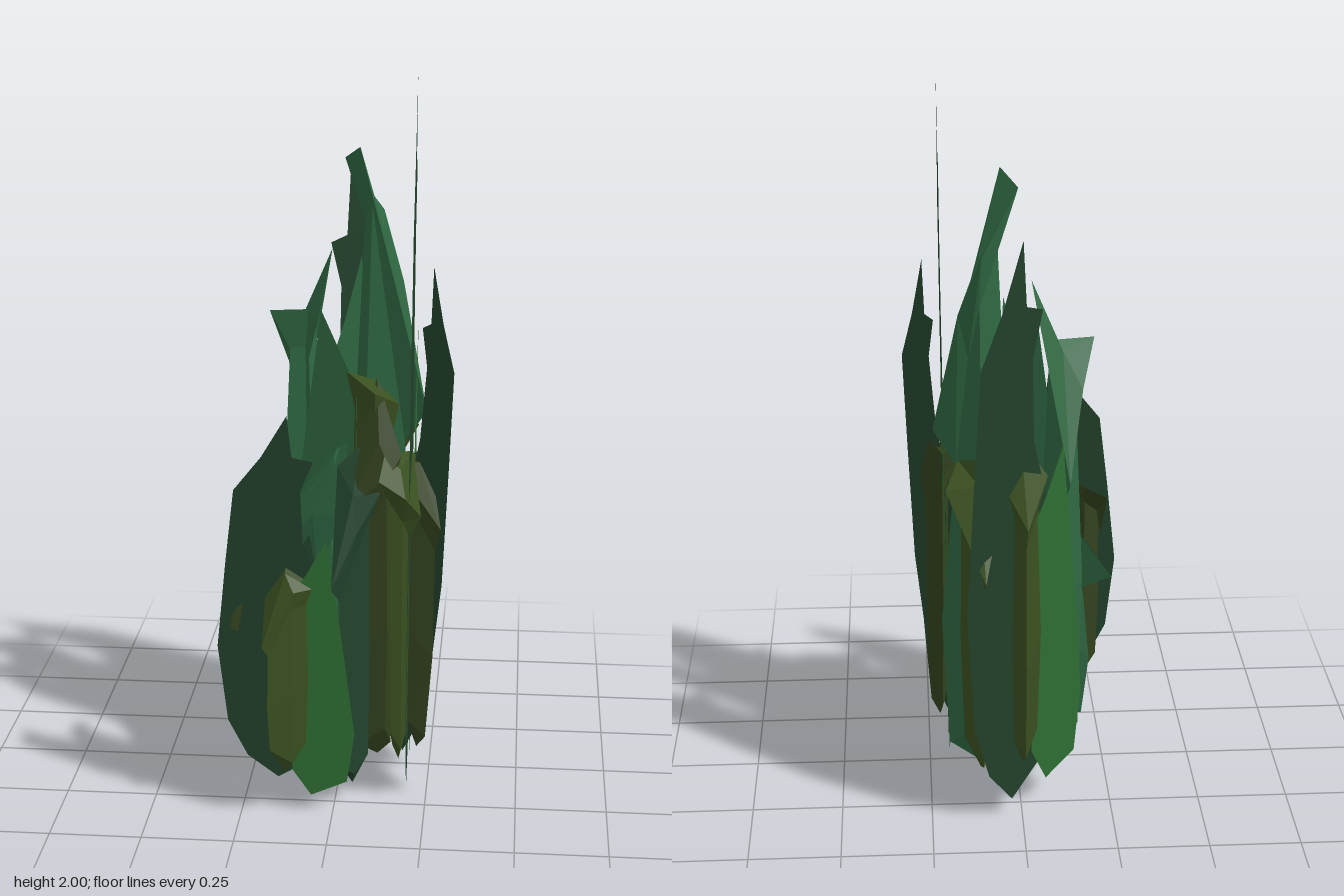
import * as THREE from 'three';

const COLORS = { dark: 0x22402a, pine: 0x22432d, teal: 0x2f6842, green: 0x2f7034, olive: 0x3a5020, moss: 0x33421e };
const mats = {};
for (const key in COLORS) {
  mats[key] = new THREE.MeshStandardMaterial({ color: COLORS[key], flatShading: true, side: THREE.DoubleSide });
}

// Flat leaf outlines: [position across the leaf, height fraction]
const BROAD = [
  [0, 0.37], [0.08, 0.6], [0.16, 0.8], [0.4, 0.89], [0.62, 1], [0.66, 0.89], [0.84, 0.88], [0.73, 0.8],
  [0.75, 0.66], [0.9, 0.55], [1, 0.4], [0.94, 0.2], [0.85, 0.06], [0.52, 0], [0.25, 0.06], [0.08, 0.16],
];
const SLIM = [
  [0, 0.1], [0.04, 0.8], [0.25, 0.87], [0.56, 1], [0.66, 0.84], [0.8, 0.62], [1, 0.25], [0.88, 0.06], [0.3, 0],
];

// Thin, slightly bowed upright leaf on the plan line p-q; lean slides its foot along that line
function flatLeaf(name, color, outline, p, q, y0, y1, lean = 0) {
  const geo = new THREE.ShapeGeometry(new THREE.Shape(outline.map(([u, v]) => new THREE.Vector2(u, v))));
  const pos = geo.attributes.position;
  const dx = q[0] - p[0], dz = q[1] - p[1], width = Math.hypot(dx, dz);
  for (let i = 0; i < pos.count; i++) {
    const u = pos.getX(i), v = pos.getY(i);
    const along = u + lean * Math.max(0, 0.8 - v), bow = 0.012 * (v - 0.5) / width;
    pos.setXYZ(i, p[0] + dx * along - dz * bow, y0 + (y1 - y0) * v, p[1] + dz * along + dx * bow);
  }
  geo.computeVertexNormals();
  const mesh = new THREE.Mesh(geo, mats[color]);
  mesh.name = name;
  return mesh;
}

// Faceted stalk: corners are [x, z, top height]; rings narrow below the flared tip
function stalk(name, color, corners, foot, { neck = 0.62, mid = 0.75, base = 0.6 } = {}) {
  const n = corners.length;
  const centre = [0, 1, 2].map(k => corners.reduce((s, c) => s + c[k], 0) / n);
  const rings = [[0, base], [0.4, mid], [0.9, neck], [1, 1]];
  const points = [], index = [];
  for (const [t, scale] of rings) {
    corners.forEach(([x, z, top], i) => {
      const y0 = foot + (i % 2) * 0.05 + 0.04;
      points.push(centre[0] + (x - centre[0]) * scale, y0 + (top - y0) * t, centre[1] + (z - centre[1]) * scale);
    });
  }
  points.push(centre[0], foot, centre[1], centre[0], centre[2] + 0.03, centre[1]);
  const bottom = rings.length * n, top = bottom + 1, last = bottom - n;
  for (let i = 0; i < n; i++) {
    const j = (i + 1) % n;
    for (let r = 0; r < rings.length - 1; r++) {
      const a = r * n + i, b = r * n + j;
      index.push(a, a + n, b, b, a + n, b + n);
    }
    index.push(bottom, i, j, top, last + j, last + i);
  }
  const geo = new THREE.BufferGeometry();
  geo.setAttribute('position', new THREE.Float32BufferAttribute(points, 3));
  geo.setIndex(index);
  geo.computeVertexNormals();
  const mesh = new THREE.Mesh(geo, mats[color]);
  mesh.name = name;
  return mesh;
}

export function createModel() {
  const group = new THREE.Group();
  group.name = 'grassClump';

  // Large dark leaves, each with a slim leaf beside it in the same plane
  group.add(
    flatLeaf('tallLeftLeaf', 'dark', BROAD, [0.2, 0.28], [0.198, 0.03], 0, 2),
    flatLeaf('tallLeftSideLeaf', 'green', SLIM, [0.2, 0.065], [0.198, -0.11], 0.03, 1.32),
    flatLeaf('backLeaf', 'dark', BROAD, [0.15, -0.395], [-0.09, -0.245], 0.05, 1.66),
    flatLeaf('backSideLeaf', 'green', SLIM, [-0.03, -0.285], [-0.17, -0.2], 0.08, 1.08),
    flatLeaf('frontLeaf', 'dark', BROAD, [-0.31, 0.315], [0, 0.315], 0.1, 1.14),
    flatLeaf('frontSideLeaf', 'green', SLIM, [-0.11, 0.318], [0.06, 0.32], 0.05, 0.8),
    flatLeaf('leftLeaf', 'dark', BROAD, [0.328, 0.133], [0.2, 0.083], 0.08, 1.49, 0.8),
    flatLeaf('leftSideLeaf', 'teal', SLIM, [0.08, 0.045], [-0.17, -0.04], 0.1, 1.34),
  );

  // Slim leaves inside the clump
  group.add(
    flatLeaf('innerBackLeaf', 'teal', SLIM, [-0.04, -0.1], [0.1, -0.195], 0.1, 1.46),
    flatLeaf('innerFrontLeaf', 'pine', SLIM, [-0.17, 0.17], [0, 0.165], 0.1, 0.76),
    flatLeaf('innerCrossLeaf', 'teal', SLIM, [0.05, 0.04], [0.05, 0.14], 0.1, 1.36, -0.9),
  );

  // Stalks at the back
  group.add(
    stalk('backStalk', 'olive',
      [[-0.01, -0.395, 0.9], [0.055, -0.295, 1.0], [0.015, -0.24, 1.12], [-0.07, -0.26, 1.0]], 0.16),
    stalk('backLeftStalk', 'olive',
      [[0.1, -0.4, 0.75], [0.2, -0.235, 0.95], [0.165, -0.165, 1.01], [0.12, -0.215, 1.03], [0.025, -0.21, 1.0], [0.06, -0.29, 0.9]],
      0.12, { neck: 0.55, mid: 0.6, base: 0.5 }),
    stalk('rightBackStalk', 'teal',
      [[-0.13, -0.26, 0.97], [-0.035, -0.1, 1.49], [-0.07, -0.03, 1.3], [-0.1, -0.09, 1.32], [-0.205, -0.07, 1.32], [-0.17, -0.15, 1.2]],
      0.12, { neck: 0.4, mid: 0.7 }),
    stalk('tallTealStalk', 'teal',
      [[0.1, -0.195, 1.58], [0.16, -0.11, 1.4], [0.23, -0.04, 1.05], [0.045, -0.04, 1.78], [0, -0.1, 1.74]],
      0.05, { neck: 0.5, mid: 0.85, base: 0.7 }),
  );

  // Stalks in the middle
  group.add(
    stalk('middleTealStalk', 'teal',
      [[-0.27, 0.01, 0.57], [0.015, -0.02, 1.02], [0.02, 0.175, 0.82], [-0.055, 0.185, 0.68], [-0.08, 0.08, 0.68]],
      0.08, { neck: 0.6, mid: 0.7 }),
    stalk('middleOliveStalk', 'olive',
      [[0.02, -0.01, 1.15], [0.155, -0.01, 1.08], [0.16, 0.06, 1.1], [0.1, 0.14, 1.15], [0.02, 0.1, 1.2]],
      0.1, { neck: 0.7, mid: 0.85, base: 0.7 }),
    stalk('leftMossStalk', 'moss',
      [[0.2, 0.02, 0.95], [0.24, 0.06, 0.98], [0.28, 0.14, 0.77], [0.15, 0.14, 0.96]], 0.1, { neck: 0.75, mid: 0.7, base: 0.4 }),
  );

  // Stalks at the front
  group.add(
    stalk('frontLeftMossStalk', 'moss',
      [[0.03, 0.23, 0.85], [0.1, 0.07, 1.18], [0.175, 0.2, 1.0], [0.15, 0.23, 0.96]], 0.12),
    stalk('frontLeftOliveStalk', 'olive',
      [[0.2, 0.09, 0.98], [0.23, 0.23, 0.84], [0.19, 0.265, 0.9], [0.12, 0.275, 0.95], [0.13, 0.2, 1.0]],
      0.12, { neck: 0.45, mid: 0.45, base: 0.4 }),
    stalk('frontPineStalk', 'pine',
      [[0.06, 0.13, 1.0], [0.12, 0.23, 0.9], [0.06, 0.28, 0.8], [0, 0.35, 0.67], [0, 0.15, 0.95]],
      0.05, { neck: 0.6, mid: 0.65 }),
    stalk('rightFrontMossStalk', 'moss',
      [[-0.205, 0.11, 0.8], [-0.18, 0.22, 0.78], [-0.11, 0.22, 0.75], [-0.19, 0.27, 0.7], [-0.27, 0.345, 0.55], [-0.27, 0.155, 0.75]],
      0.15, { neck: 0.6, mid: 0.7 }),
    stalk('frontMossStalk', 'olive',
      [[-0.115, 0.255, 0.85], [-0.05, 0.32, 0.66], [-0.1, 0.355, 0.66], [-0.18, 0.4, 0.52], [-0.18, 0.285, 0.67]],
      0.12, { neck: 0.75, mid: 0.8, base: 0.7 }),
  );
  return group;
}
